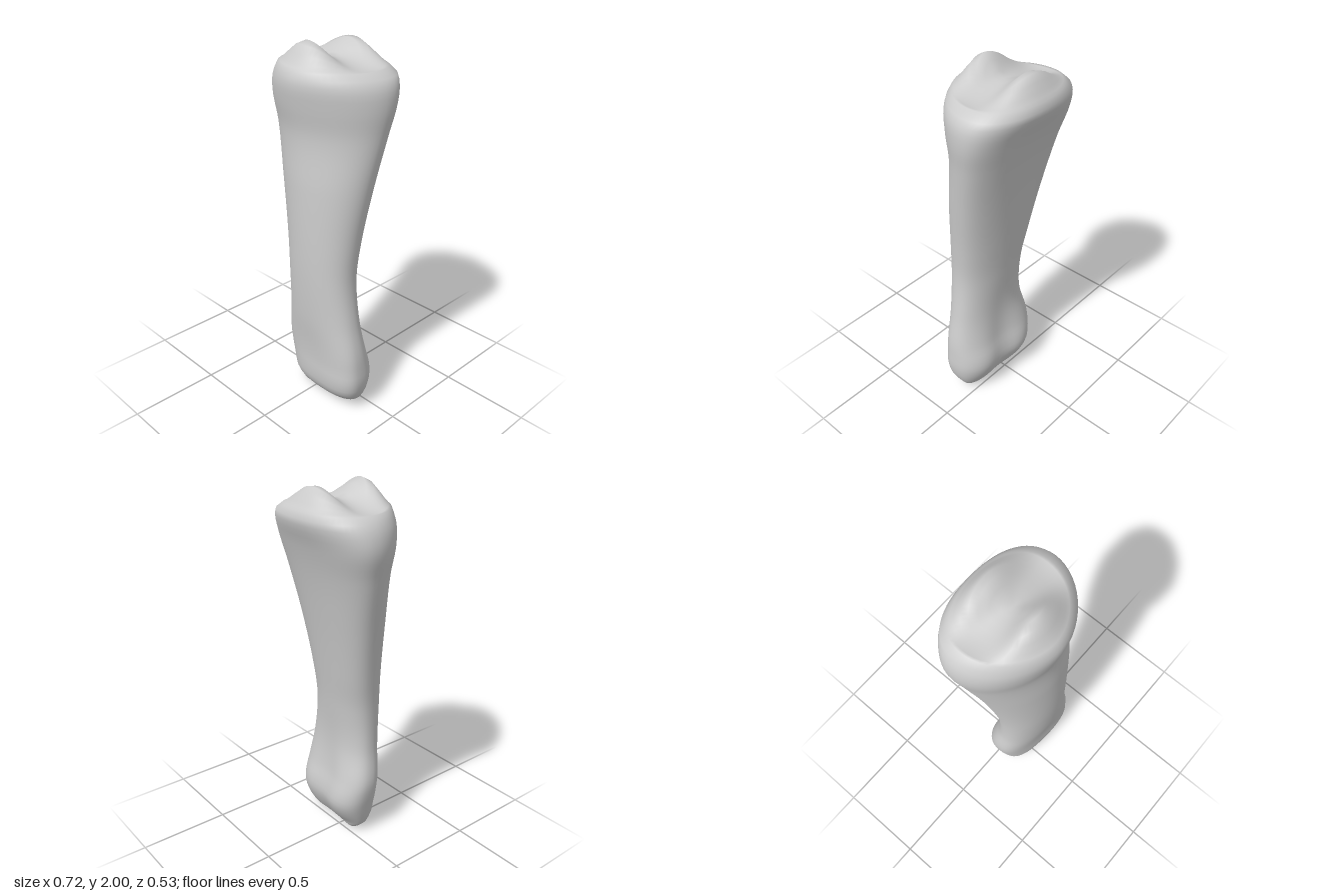
import * as THREE from 'three';

// Cross-sections up the bone:
// y, xMin, xMax, zFront, zBack, z of widest line, front roundness, back roundness, skew, back hollow
const SECTIONS = [
  [0.06, -0.14, 0.295, 0.15, -0.01, 0.06, 2.5, 2.5, 0.00, 0.01],
  [0.11, -0.158, 0.325, 0.185, -0.05, 0.07, 2.6, 2.5, 0.01, 0.02],
  [0.20, -0.182, 0.343, 0.20, -0.09, 0.07, 2.6, 2.5, 0.02, 0.03],
  [0.27, -0.198, 0.34, 0.20, -0.09, 0.07, 2.6, 2.4, 0.02, 0.035],
  [0.36, -0.208, 0.332, 0.205, -0.065, 0.075, 2.5, 2.3, 0.02, 0.03],
  [0.55, -0.177, 0.295, 0.225, -0.03, 0.09, 2.2, 2.2, 0.01, 0.01],
  [0.80, -0.175, 0.264, 0.238, -0.038, 0.09, 2.1, 2.2, 0.012, 0],
  [1.00, -0.20, 0.272, 0.24, -0.065, 0.07, 2.0, 2.3, 0.015, 0],
  [1.30, -0.258, 0.305, 0.235, -0.115, 0.03, 1.9, 2.4, 0.01, 0],
  [1.58, -0.328, 0.34, 0.226, -0.175, -0.02, 1.8, 2.4, 0, 0],
  [1.73, -0.363, 0.36, 0.252, -0.22, -0.045, 1.8, 2.4, 0, 0],
  [1.82, -0.348, 0.352, 0.264, -0.255, -0.05, 1.8, 2.3, 0, 0],
  [1.86, -0.325, 0.33, 0.26, -0.262, -0.05, 1.8, 2.3, 0, 0],
  [1.89, -0.292, 0.285, 0.246, -0.246, -0.04, 1.9, 2.3, 0, 0],
];
const SEGMENTS = 56;
const RINGS = 60;
const CAP_SCALES = [0.95, 0.88, 0.78, 0.66, 0.52, 0.36, 0.18];

const bump = (d, width) => Math.exp(-((d / width) ** 2));

// Upper joint: a front and a back ridge with a saddle between them
const topHeight = (x, z) =>
  1.875 + 0.045 * bump(x, 0.18)
  + 0.08 * bump(x + 0.02, 0.17) * bump(z - 0.14, 0.075)
  + 0.07 * bump(x, 0.2) * bump(z + 0.16, 0.075)
  + 0.02 * bump(z - 0.13, 0.07) + 0.02 * bump(z + 0.15, 0.07);

// Lower joint: two knuckles with a groove between them
const bottomHeight = (x) =>
  0.06 - 0.062 * bump(x + 0.09, 0.075) - 0.025 * bump(x - 0.23, 0.08);

// One closed ring of points from the section values
function ring(y, [x0, x1, zf, zb, zw, nf, nb, skew, hollow]) {
  const points = [];
  const cx = (x0 + x1) / 2, rx = (x1 - x0) / 2;
  for (let i = 0; i < SEGMENTS; i++) {
    const a = (i / SEGMENTS) * Math.PI * 2;
    const c = Math.cos(a), s = Math.sin(a);
    const n = 2 / (s > 0 ? nf : nb);
    const u = Math.sign(c) * Math.abs(c) ** n;
    const v = Math.abs(s) ** n;
    let z = zw + v * ((s > 0 ? zf : zb) - zw) + skew * u;
    if (s < 0) z += hollow * v * bump(u, 0.4);
    points.push(new THREE.Vector3(cx + rx * u, y, z));
  }
  return points;
}

// Shrinks the rim toward its middle while rising or sinking to the joint surface
function capRing(rim, centre, scale, height) {
  return rim.map((p) => {
    const q = p.clone().sub(centre).multiplyScalar(scale).add(centre);
    q.y = THREE.MathUtils.lerp(p.y, height(q.x, q.z), 1 - scale ** 5);
    return q;
  });
}

function loftGeometry(rings, first, last) {
  const vertices = [first, ...rings.flat(), last];
  const end = vertices.length - 1;
  const index = [];
  const id = (r, i) => 1 + r * SEGMENTS + (i % SEGMENTS);
  for (let i = 0; i < SEGMENTS; i++) {
    index.push(0, id(0, i), id(0, i + 1));
    for (let r = 0; r < rings.length - 1; r++) {
      const a = id(r, i), b = id(r, i + 1), c = id(r + 1, i), d = id(r + 1, i + 1);
      index.push(a, c, b, b, c, d);
    }
    index.push(end, id(rings.length - 1, i + 1), id(rings.length - 1, i));
  }
  const geometry = new THREE.BufferGeometry().setFromPoints(vertices);
  geometry.setIndex(index);
  geometry.computeVertexNormals();
  return geometry;
}

export function createModel() {
  // Smooth interpolation between the sections
  const ys = SECTIONS.map((s) => s[0]);
  const sampler = new THREE.CubicInterpolant(ys, SECTIONS.flatMap((s) => s.slice(1)), 9, new Float32Array(9));
  const yMin = ys[0], yMax = ys[ys.length - 1];
  const shaft = [];
  for (let i = 0; i <= RINGS; i++) {
    const y = THREE.MathUtils.lerp(yMin, yMax, i / RINGS);
    shaft.push(ring(y, sampler.evaluate(y)));
  }

  // Joint surfaces at both ends
  const low = new THREE.Vector3(0.075, bottomHeight(0.075), 0.065);
  const high = new THREE.Vector3(0, topHeight(0, 0), 0);
  const bottom = CAP_SCALES.map((s) => capRing(shaft[0], low, s, bottomHeight)).reverse();
  const top = CAP_SCALES.map((s) => capRing(shaft[RINGS], high, s, topHeight));

  const bone = new THREE.Mesh(
    loftGeometry([...bottom, ...shaft, ...top], low, high),
    new THREE.MeshStandardMaterial({ color: 0xcccccc }),
  );
  bone.name = 'fingerBone';
  const model = new THREE.Group();
  model.name = 'bone';
  model.add(bone);
  return model;
}
